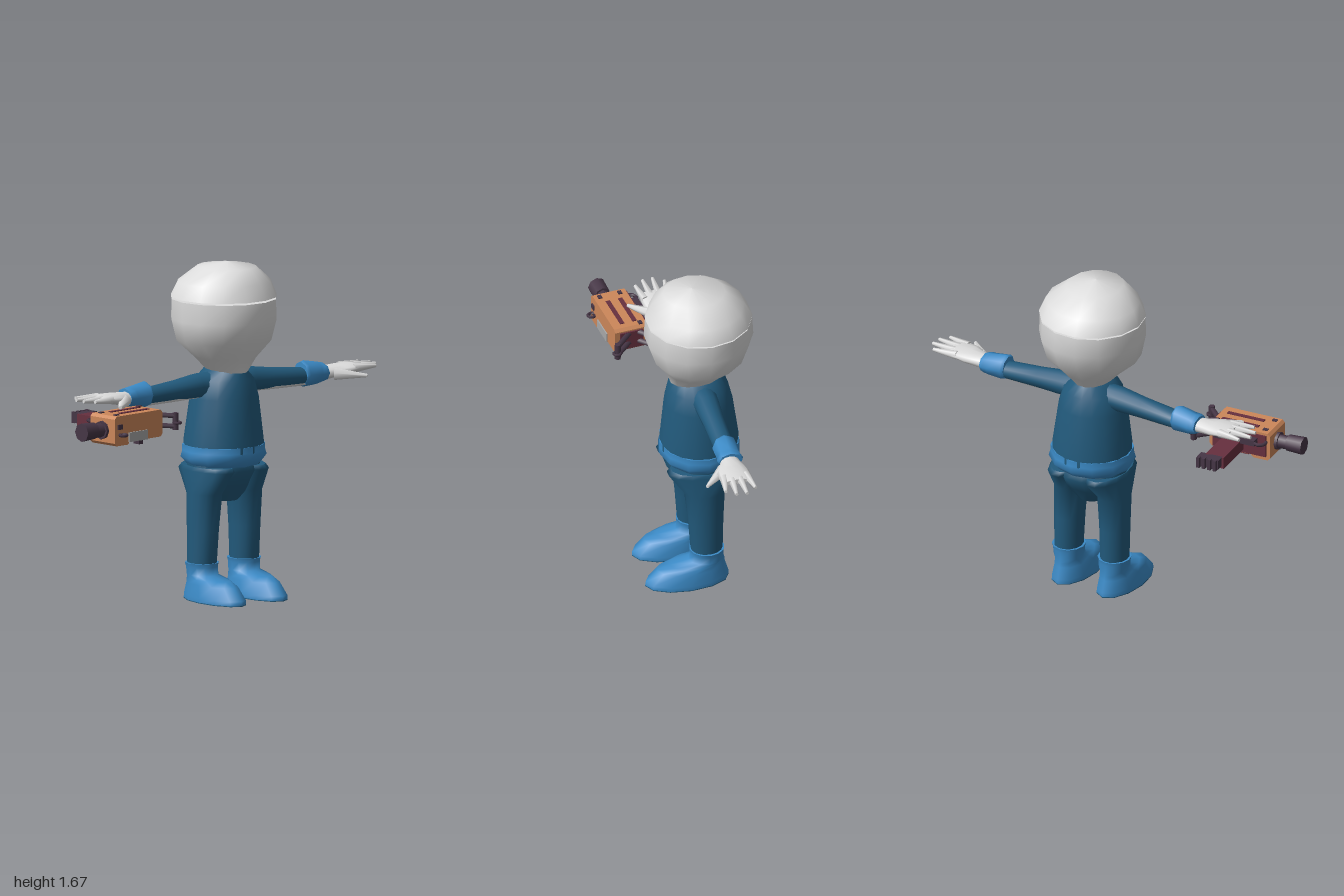
import * as THREE from 'three';

const mat = (name, color) => Object.assign(new THREE.MeshStandardMaterial({ color }), { name });
const CX = 0.08; // body centre line

// Closed smooth skin through elliptical rings [pos, c1, c2, r1, r2]; axis 'y' or 'x'
function loft(rings, axis = 'y', seg = 14) {
  const pos = [], idx = [];
  const put = (p, a, b) => pos.push(...(axis === 'y' ? [a, p, b] : [p, a, b]));
  const ringPts = ([p, a, b, ra, rb]) => {
    for (let i = 0; i < seg; i++) {
      const t = (i / seg) * Math.PI * 2;
      put(p, a + Math.cos(t) * ra, b + Math.sin(t) * rb);
    }
  };
  rings.forEach(ringPts);
  for (let r = 0; r < rings.length - 1; r++)
    for (let i = 0; i < seg; i++) {
      const a = r * seg + i, b = r * seg + (i + 1) % seg;
      idx.push(a, a + seg, b, b, a + seg, b + seg);
    }
  [rings[0], rings[rings.length - 1]].forEach((ring, end) => {
    if (ring[3] < 0.001) return;
    const base = pos.length / 3;
    ringPts(ring);
    put(ring[0], ring[1], ring[2]);
    for (let i = 0; i < seg; i++) {
      const a = base + i, b = base + (i + 1) % seg;
      idx.push(base + seg, ...(end ? [b, a] : [a, b]));
    }
  });
  // Turn the faces outward whichever way the rings run
  let vol = 0;
  const v = i => new THREE.Vector3().fromArray(pos, i * 3);
  for (let i = 0; i < idx.length; i += 3) vol += v(idx[i]).dot(v(idx[i + 1]).cross(v(idx[i + 2])));
  if (vol < 0) idx.reverse();
  const g = new THREE.BufferGeometry();
  g.setAttribute('position', new THREE.Float32BufferAttribute(pos, 3));
  g.setIndex(idx);
  g.computeVertexNormals();
  return g;
}

// Tapered rod between two points
function rod(a, b, r1, r2, seg = 6) {
  const A = new THREE.Vector3(...a), B = new THREE.Vector3(...b), d = B.clone().sub(A);
  const g = new THREE.CylinderGeometry(r2, r1, d.length(), seg);
  g.applyQuaternion(new THREE.Quaternion().setFromUnitVectors(new THREE.Vector3(0, 1, 0), d.normalize()));
  const m = A.add(B).multiplyScalar(0.5);
  return g.translate(m.x, m.y, m.z);
}

export function createModel() {
  const skin = mat('pale skin', 0xdcdcdc), navy = mat('dark blue cloth', 0x225a7c);
  const blue = mat('light blue trim', 0x3b8ac6), orange = mat('orange shell', 0xcc875a);
  const maroon = mat('maroon casing', 0x67303f), dark = mat('dark metal', 0x463646);
  const grey = mat('grey plate', 0xa8a8a8);
  const root = new THREE.Group();
  const add = (name, geo, m, parent = root) => {
    const mesh = new THREE.Mesh(geo, m);
    mesh.name = name;
    parent.add(mesh);
    return mesh;
  };

  // Head, with a narrow gap below the skull cap
  add('head', loft([
    [1.13, CX, -0.01, 0.085, 0.125], [1.2, CX, -0.025, 0.15, 0.165], [1.285, CX, -0.03, 0.243, 0.232],
    [1.39, CX, -0.033, 0.262, 0.27], [1.49, CX, -0.033, 0.262, 0.264]]), skin);
  add('skullCap', loft([
    [1.5, CX, -0.033, 0.265, 0.266], [1.575, CX, -0.03, 0.235, 0.228],
    [1.65, CX, -0.01, 0.14, 0.155], [1.675, CX, 0, 0, 0]]), skin);

  // Torso, hem and pelvis
  add('torso', loft([
    [0.7, CX, -0.035, 0.2, 0.195], [0.78, CX, -0.035, 0.2, 0.195], [1.0, CX, -0.03, 0.17, 0.17],
    [1.09, CX, -0.028, 0.145, 0.15], [1.145, CX, -0.02, 0.085, 0.12]], 'y', 18), navy);
  add('hem', loft([
    [0.64, CX, -0.03, 0.15, 0.12], [0.67, CX, -0.033, 0.19, 0.175], [0.705, CX, -0.035, 0.218, 0.206],
    [0.735, CX, -0.035, 0.208, 0.2], [0.765, CX, -0.035, 0.208, 0.2]], 'y', 12), blue);
  add('pelvis', loft([
    [0.485, CX, -0.035, 0.07, 0.07], [0.56, CX, -0.035, 0.16, 0.12], [0.645, CX, -0.035, 0.195, 0.18],
    [0.69, CX, -0.035, 0.19, 0.15]]), navy);

  for (const s of [1, -1]) {
    const side = s > 0 ? 'left' : 'right';
    const X = d => CX + s * d;

    // Trouser leg and boot
    add(side + 'Leg', loft([
      [0.15, X(0.133), -0.04, 0.07, 0.078], [0.35, X(0.13), -0.035, 0.074, 0.088],
      [0.53, X(0.125), -0.03, 0.08, 0.102], [0.645, X(0.105), -0.035, 0.098, 0.19],
      [0.665, X(0.1), -0.035, 0.095, 0.17]]), navy);
    add(side + 'Boot', loft([
      [0.004, X(0.13), 0.06, 0.1, 0.212], [0.025, X(0.13), 0.06, 0.1, 0.21],
      [0.085, X(0.13), 0.04, 0.088, 0.172], [0.108, X(0.13), 0.01, 0.08, 0.14],
      [0.125, X(0.13), -0.037, 0.074, 0.088], [0.165, X(0.132), -0.04, 0.077, 0.084],
      [0.185, X(0.132), -0.04, 0.083, 0.088]], 'y', 12), blue);
    add(side + 'Sole', loft([
      [0, X(0.13), 0.06, 0.1, 0.212], [0.004, X(0.13), 0.06, 0.1, 0.212]], 'y', 12), navy);

    // Sleeve, bare arm showing under it, and cuff
    add(side + 'Sleeve', loft([
      [X(0.05), 1.07, -0.035, 0.06, 0.07], [X(0.17), 1.067, -0.035, 0.062, 0.062],
      [X(0.3), 1.058, -0.035, 0.052, 0.054], [X(0.52), 1.045, -0.035, 0.042, 0.05]], 'x', 12), navy);
    add(side + 'BareArm', loft([
      [X(0.13), 1.03, -0.033, 0.025, 0.03], [X(0.3), 1.025, -0.033, 0.024, 0.035],
      [X(0.52), 1.022, -0.033, 0.024, 0.035]], 'x', 8), skin);
    add(side + 'Cuff', loft([
      [X(0.485), 1.058, -0.035, 0.06, 0.056], [X(0.5), 1.058, -0.035, 0.066, 0.063],
      [X(0.58), 1.053, -0.035, 0.056, 0.06], [X(0.6), 1.055, -0.035, 0.05, 0.066],
      [X(0.62), 1.055, -0.035, 0.045, 0.06]], 'x', 8), blue);

    // Hand with four fingers and a thumb
    const hand = new THREE.Group();
    hand.name = side + 'Hand';
    root.add(hand);
    add('palm', loft([
      [X(0.56), 1.045, -0.032, 0.036, 0.04], [X(0.64), 1.052, -0.028, 0.034, 0.052],
      [X(0.71), 1.06, -0.02, 0.028, 0.078], [X(0.78), 1.067, -0.018, 0.021, 0.08],
      [X(0.81), 1.068, -0.018, 0.014, 0.07]], 'x', 12), skin, hand);
    [[-0.075, 0.885, -0.092], [-0.038, 0.92, -0.04], [0.0, 0.915, 0.012], [0.037, 0.88, 0.058]]
      .forEach(([z0, x, z]) => add('finger',
        rod([X(0.76), 1.067, z0], [X(x), 1.071, z], 0.022, 0.009), skin, hand));
    add('thumb', rod([X(0.66), 1.045, 0.01], [X(0.775), 1.04, 0.125], 0.033, 0.009), skin, hand);
  }

  // Hand tool, turned slightly about the vertical
  const tool = new THREE.Group();
  tool.name = 'blaster';
  tool.position.set(-0.69, 0.955, 0.168);
  tool.rotation.y = 0.11;
  root.add(tool);
  const box = (name, w, h, d, x, y, z, m) =>
    add(name, new THREE.BoxGeometry(w, h, d).translate(x, y, z), m, tool);

  // Shell with a chamfered outline
  const c = 0.014, w = 0.165, h = 0.074;
  const outline = new THREE.Shape([
    [-w + c, -h], [-0.075, -h], [-0.06, -h + 0.014], [w - c, -h + 0.014], [w, -h + 0.028],
    [w, h - c], [w - c, h], [-w + c, h], [-w, h - c], [-w, -h + c]].map(p => new THREE.Vector2(...p)));
  add('shell', new THREE.ExtrudeGeometry(outline, { depth: 0.17, bevelEnabled: false })
    .translate(0, 0, -0.085), orange, tool);
  box('rearCasing', 0.29, 0.115, 0.012, 0, 0.004, -0.088, maroon);
  box('endCasing', 0.012, 0.095, 0.12, 0.167, 0.006, 0, maroon);
  box('underCasing', 0.19, 0.01, 0.12, 0.05, -0.062, -0.02, maroon);
  for (const z of [-0.035, 0.03]) box('topSlot', 0.2, 0.006, 0.022, 0.02, 0.0745, z, maroon);
  for (const [x, z] of [[-0.125, -0.05], [-0.125, 0.055], [0.14, -0.055]])
    box('bolt', 0.025, 0.008, 0.02, x, 0.075, z, dark);
  box('sidePlate', 0.13, 0.048, 0.008, -0.005, -0.038, 0.087, grey);
  box('sideLatch', 0.03, 0.025, 0.01, -0.13, 0.02, 0.087, dark);
  box('underStud', 0.028, 0.03, 0.04, 0.052, -0.075, 0.03, dark);

  // Muzzle
  add('barrel', rod([-0.16, 0, 0], [-0.24, 0, 0], 0.036, 0.034, 8), dark, tool);
  add('muzzle', rod([-0.225, 0.003, 0], [-0.31, 0.003, 0], 0.042, 0.046, 8), dark, tool);
  add('muzzleCollar', rod([-0.165, 0, 0], [-0.18, 0, 0], 0.046, 0.046, 8), dark, tool);

  // Split tail handle, each arm ending in a small ring
  for (const [z0, z1] of [[-0.035, -0.105], [0.01, 0.1]]) {
    for (const y of [0.04, -0.012])
      add('tailBar', rod([0.16, y, z0], [0.24, y - 0.005, z1], 0.015, 0.013), dark, tool);
    add('tailPost', rod([0.24, -0.035, z1], [0.24, 0.05, z1], 0.016, 0.016), dark, tool);
    add('tailRing', new THREE.TorusGeometry(0.017, 0.008, 5, 8)
      .rotateX(Math.PI / 2).translate(0.247, 0.0, z1 + 0.005), dark, tool);
  }

  // Rear grip reaching under the hand
  box('gripStem', 0.1, 0.06, 0.24, 0.025, -0.005, -0.2, maroon);
  box('gripRail', 0.22, 0.03, 0.045, 0.01, 0.03, -0.11, dark);
  box('gripEnd', 0.115, 0.05, 0.05, 0.045, 0, -0.335, dark);
  for (let i = 0; i < 4; i++) box('gripRib', 0.016, 0.056, 0.02, 0 + i * 0.03, 0, -0.366, dark);

  // Carry loops
  add('rearLoop', new THREE.TorusGeometry(0.03, 0.009, 5, 8)
    .rotateX(Math.PI / 2).translate(-0.12, 0.03, -0.105), dark, tool);
  add('frontLoop', new THREE.TorusGeometry(0.018, 0.008, 5, 8)
    .rotateX(Math.PI / 2).translate(-0.12, -0.02, 0.1), dark, tool);
  return root;
}
